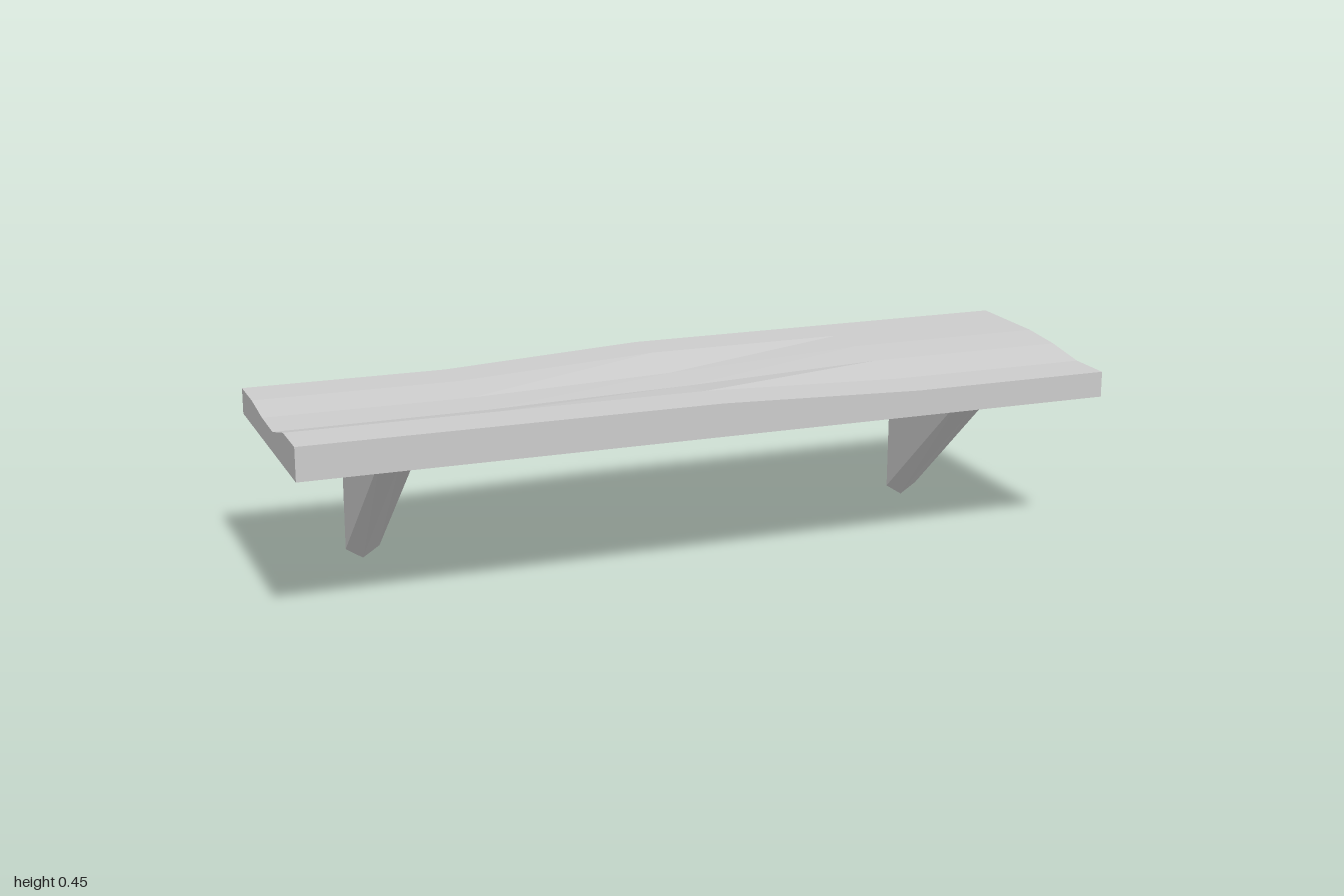
import * as THREE from 'three';

const material = new THREE.MeshStandardMaterial({ color: 0xcccccc, flatShading: true });

// Flat-faced mesh from polygons whose corners run counter-clockwise seen from outside
function polyMesh(name, polygons) {
  const pos = [];
  for (const p of polygons) {
    for (let i = 1; i < p.length - 1; i++) pos.push(...p[0], ...p[i], ...p[i + 1]);
  }
  const geo = new THREE.BufferGeometry();
  geo.setAttribute('position', new THREE.Float32BufferAttribute(pos, 3));
  geo.computeVertexNormals();
  const mesh = new THREE.Mesh(geo, material);
  mesh.name = name;
  return mesh;
}

// Worn plank: gently uneven top over a flat underside
function createPlank() {
  const base = 0.364;
  const xs = [-1, -0.5, 0, 0.5, 1];
  const zs = [0.3, 0.18, 0.06, -0.06, -0.18, -0.3];
  const front = [0.444, 0.444, 0.444, 0.427, 0.427];
  const back = [0.427, 0.427, 0.453, 0.453, 0.453];
  const heights = [
    front, front,
    [0.414, 0.416, 0.427, 0.444, 0.444],
    [0.416, 0.416, 0.43, 0.453, 0.453],
    back, back,
  ];
  const top = (i, j) => [xs[i], heights[j][i], zs[j]];
  const low = (i, j) => [xs[i], base, zs[j]];
  const polys = [];
  const nx = xs.length - 1, nz = zs.length - 1;
  for (let i = 0; i < nx; i++) {
    for (let j = 0; j < nz; j++) {
      polys.push([top(i, j), top(i + 1, j), top(i + 1, j + 1), top(i, j + 1)]);
    }
    // long edges
    polys.push([low(i, 0), low(i + 1, 0), top(i + 1, 0), top(i, 0)]);
    polys.push([low(i + 1, nz), low(i, nz), top(i, nz), top(i + 1, nz)]);
  }
  for (let j = 0; j < nz; j++) {
    // end faces
    polys.push([low(nx, j), low(nx, j + 1), top(nx, j + 1), top(nx, j)]);
    polys.push([low(0, j + 1), low(0, j), top(0, j), top(0, j + 1)]);
  }
  polys.push([low(0, nz), low(nx, nz), low(nx, 0), low(0, 0)]);
  return polyMesh('plank', polys);
}

// Triangular bracket with a ridged sloping front edge
function createBracket(name, x) {
  const w = 0.042, y = 0.364;
  const frontTop = (s) => [s * w, y, 0.195];
  const backTop = (s) => [s * w, y, -0.195];
  const foot = (s) => [s * w, 0.027, -0.2];
  const ridgeTop = [0, y, 0.217], tip = [0, 0, -0.2];
  const polys = [
    [frontTop(-1), ridgeTop, frontTop(1), backTop(1), backTop(-1)],
    [backTop(-1), backTop(1), foot(1), tip, foot(-1)],
  ];
  for (const s of [1, -1]) {
    const sides = [
      [frontTop(s), foot(s), backTop(s)],
      [ridgeTop, tip, foot(s), frontTop(s)],
    ];
    for (const p of sides) polys.push(s > 0 ? p : p.reverse());
  }
  const mesh = polyMesh(name, polys);
  mesh.position.x = x;
  return mesh;
}

export function createModel() {
  const model = new THREE.Group();
  model.name = 'shelf';
  model.add(
    createPlank(),
    createBracket('rightBracket', -0.746),
    createBracket('leftBracket', 0.711),
  );
  return model;
}
